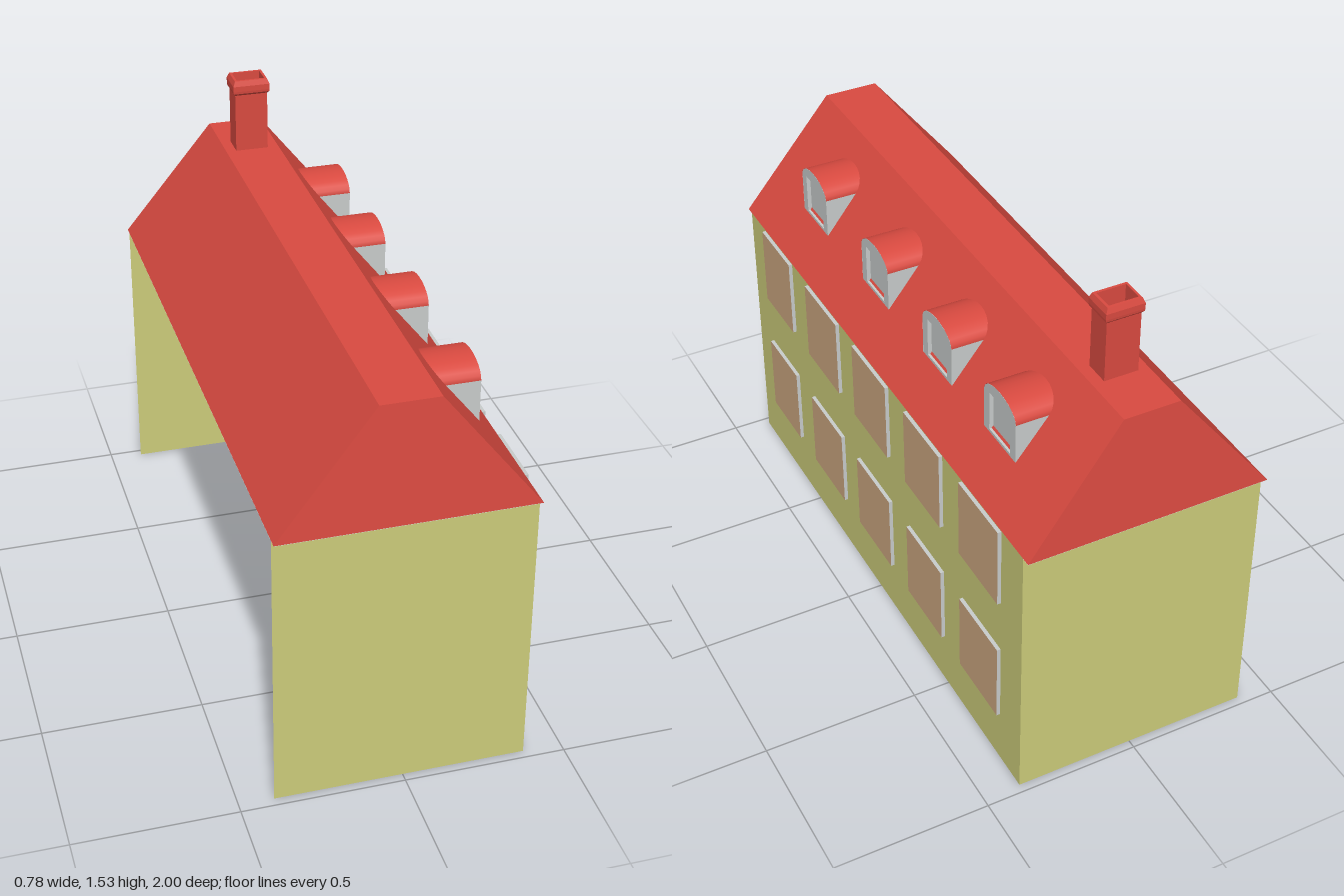
import * as THREE from 'three';

const mat = (name, color, side = THREE.DoubleSide) => {
  const m = new THREE.MeshStandardMaterial({ color, side });
  m.name = name;
  return m;
};
const wallYellow = mat('wall yellow', 0xcccc7a);
const roofRed = mat('roof red', 0xd94a40);
const trimGrey = mat('trim grey', 0xc8cccb);
const paneTan = mat('pane tan', 0xcca680);

const CX = -0.0065, HX = 0.3865, HZ = 0.972, EAVES = 0.914;
const WALL_X = CX + HX;

function add(parent, name, geometry, material, x = 0, y = 0, z = 0) {
  const mesh = new THREE.Mesh(geometry, material);
  mesh.name = name;
  mesh.position.set(x, y, z);
  parent.add(mesh);
  return mesh;
}

// Skin over rectangular rings [halfX, halfZ, y], closed on the last ring
function loft(rings) {
  const pos = [];
  const corner = ([hx, hz, y], i) => [[-hx, y, -hz], [-hx, y, hz], [hx, y, hz], [hx, y, -hz]][i % 4];
  const quad = (a, b, c, d) => pos.push(...a, ...b, ...c, ...a, ...c, ...d);
  for (let r = 0; r < rings.length - 1; r++)
    for (let i = 0; i < 4; i++)
      quad(corner(rings[r], i), corner(rings[r], i + 1), corner(rings[r + 1], i + 1), corner(rings[r + 1], i));
  const last = rings[rings.length - 1];
  quad(corner(last, 0), corner(last, 1), corner(last, 2), corner(last, 3));
  const g = new THREE.BufferGeometry();
  g.setAttribute('position', new THREE.Float32BufferAttribute(pos, 3));
  g.computeVertexNormals();
  return g;
}

// Rectangle outline centred on (u, v)
function rect(u, v, w, h, Type = THREE.Path) {
  const p = new Type();
  p.moveTo(u - w / 2, v - h / 2);
  p.lineTo(u + w / 2, v - h / 2);
  p.lineTo(u + w / 2, v + h / 2);
  p.lineTo(u - w / 2, v + h / 2);
  p.closePath();
  return p;
}

// Turns geometry drawn in the xy plane to face +x
const faceRight = g => g.rotateY(Math.PI / 2);

function makeWindow(w, h) {
  const g = new THREE.Group();
  g.name = 'window';
  const d = 0.012;
  add(g, 'windowPane', faceRight(new THREE.PlaneGeometry(w, h)), paneTan, d);
  for (const s of [-1, 1]) {
    add(g, 'windowJamb', new THREE.PlaneGeometry(d, h), trimGrey, d / 2, 0, s * w / 2);
    add(g, 'windowSill', new THREE.PlaneGeometry(d, w).rotateX(Math.PI / 2), trimGrey, d / 2, s * h / 2, 0);
  }
  return g;
}

function makeDormer() {
  const g = new THREE.Group();
  g.name = 'dormer';
  const base = 1.04, spring = 1.172, front = 0.28, back = 0.13, half = 0.095, rise = 0.05;
  const len = front - back, mid = (front + back) / 2;

  // arched face with a recessed window
  const face = new THREE.Shape();
  face.moveTo(-half + 0.001, base);
  face.lineTo(half - 0.001, base);
  face.lineTo(half - 0.001, spring);
  face.absellipse(0, spring, half - 0.001, rise - 0.001, 0, Math.PI, false);
  face.closePath();
  face.holes.push(rect(0, 1.115, 0.125, 0.13));
  add(g, 'dormerFace', faceRight(new THREE.ExtrudeGeometry(face,
    { depth: 0.015, bevelEnabled: false, curveSegments: 12 })), trimGrey, front - 0.015);
  add(g, 'dormerPane', faceRight(new THREE.PlaneGeometry(0.13, 0.135)), trimGrey, front - 0.013, 1.115);

  // cheeks run back into the roof slope
  for (const s of [-1, 1])
    add(g, 'dormerCheek', new THREE.PlaneGeometry(len, spring - base), trimGrey, mid, (spring + base) / 2, s * half);

  // curved roof
  const arch = new THREE.CylinderGeometry(1, 1, len, 12, 1, true, 0, Math.PI)
    .rotateZ(Math.PI / 2).scale(1, rise, half);
  add(g, 'dormerRoof', arch, roofRed, mid, spring);
  return g;
}

export function createModel() {
  const model = new THREE.Group();
  model.name = 'house';

  // End walls; the left side stays open
  for (const s of [-1, 1])
    add(model, s > 0 ? 'frontWall' : 'backWall', new THREE.PlaneGeometry(2 * HX, EAVES), wallYellow, CX, EAVES / 2, s * HZ);

  // Window wall with openings
  const wall = rect(0, EAVES / 2, 2 * HZ, EAVES, THREE.Shape);
  const h = 0.271;
  for (const y of [0.321, 0.776])
    for (const [z, w] of [[0.738, 0.226], [0.372, 0.243], [0.008, 0.243], [-0.36, 0.238], [-0.725, 0.242]]) {
      wall.holes.push(rect(-z, y, w, h));
      const win = makeWindow(w, h);
      win.position.set(WALL_X, y, z);
      model.add(win);
    }
  add(model, 'rightWall', faceRight(new THREE.ShapeGeometry(wall)), wallYellow, WALL_X);

  // Hipped roof with a flat ridge, and its underside
  add(model, 'roof', loft([[HX, 1, EAVES], [0.089, 0.975, 1.29]]), roofRed, CX);
  add(model, 'soffit', new THREE.PlaneGeometry(2 * HX, 2).rotateX(Math.PI / 2), trimGrey, CX, EAVES - 0.001);

  // Dormers
  for (const z of [0.64, 0.18, -0.25, -0.643]) {
    const d = makeDormer();
    d.position.z = z;
    model.add(d);
  }

  // Chimney with a rounded, hollow cap
  add(model, 'chimney', loft([
    [0.054, 0.04, 1.28], [0.054, 0.04, 1.485], [0.06, 0.046, 1.492], [0.061, 0.047, 1.5],
    [0.061, 0.047, 1.518], [0.054, 0.041, 1.535], [0.046, 0.033, 1.535], [0.046, 0.033, 1.48],
  ]), roofRed, -0.008, 0, -0.766);

  return model;
}
